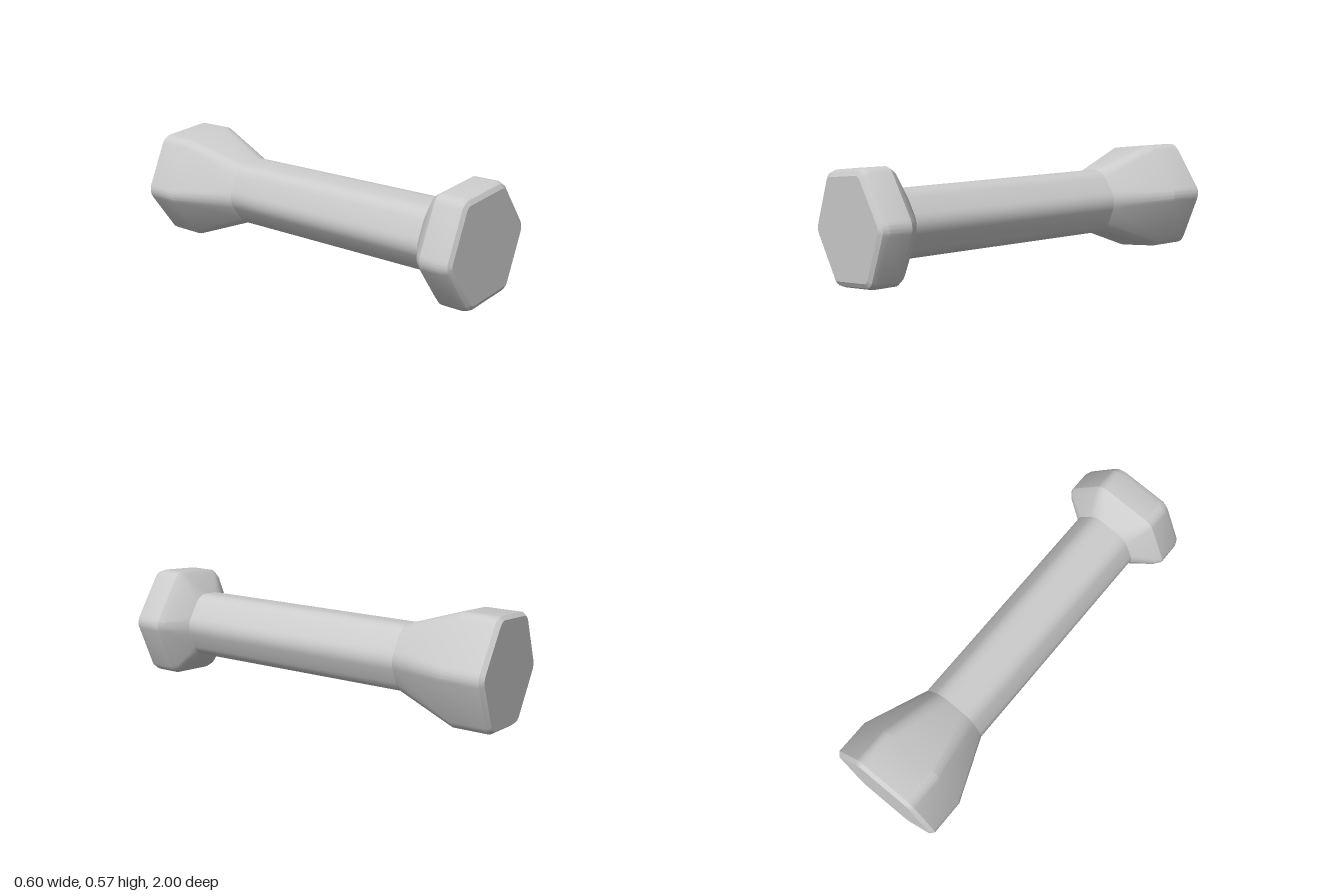
import * as THREE from 'three';
import { toCreasedNormals } from 'three/addons/utils/BufferGeometryUtils.js';

const AXIS_Y = 0.286;                          // height of the long axis
const TILT = THREE.MathUtils.degToRad(6.7);    // twist of the hexagon
const ARC = 4;                                 // segments per rounded corner
const COUNT = 6 * (ARC + 1);

// Rounded hexagon: corner centres at distance c, corner radius r
function hexSection([z, c, r]) {
  const points = [];
  for (let k = 0; k < 6; k++) {
    const corner = TILT + k * Math.PI / 3;
    for (let i = 0; i <= ARC; i++) {
      const a = corner + (i / ARC - 0.5) * Math.PI / 3;
      points.push(
        c * Math.cos(corner) + r * Math.cos(a),
        c * Math.sin(corner) + r * Math.sin(a),
        z
      );
    }
  }
  return points;
}

// Skin through sections given from back to front, with optional flat ends
function loft(name, sections, capBack, capFront, material) {
  const positions = sections.flatMap(hexSection);
  const index = [];
  const last = sections.length - 1;
  for (let s = 0; s < last; s++) {
    for (let j = 0; j < COUNT; j++) {
      const a = s * COUNT + j;
      const b = s * COUNT + (j + 1) % COUNT;
      index.push(a, b, b + COUNT, a, b + COUNT, a + COUNT);
    }
  }
  const cap = (s, front) => {
    const centre = positions.length / 3;
    positions.push(0, 0, sections[s][0]);
    for (let j = 0; j < COUNT; j++) {
      const a = s * COUNT + j;
      const b = s * COUNT + (j + 1) % COUNT;
      index.push(centre, front ? a : b, front ? b : a);
    }
  };
  if (capBack) cap(0, false);
  if (capFront) cap(last, true);
  const geometry = new THREE.BufferGeometry();
  geometry.setAttribute('position', new THREE.Float32BufferAttribute(positions, 3));
  geometry.setIndex(index);
  const mesh = new THREE.Mesh(toCreasedNormals(geometry, 0.4), material);
  mesh.name = name;
  mesh.position.y = AXIS_Y;
  return mesh;
}

export function createModel() {
  const group = new THREE.Group();
  group.name = 'dumbbell';
  const material = new THREE.MeshStandardMaterial({ color: 0xcccccc, side: THREE.DoubleSide });

  // Each section: [z, corner centre distance, corner radius]
  const shaftBack = [-0.48, 0.082, 0.093];
  const shaftFront = [0.74, 0.082, 0.093];

  // Long flared head at the back
  group.add(loft('backHead', [
    [-1, 0.232, 0.054],
    [-0.98, 0.233, 0.07],
    [-0.8, 0.233, 0.07],
    shaftBack,
  ], true, false, material));

  // Handle bar
  group.add(loft('handle', [shaftBack, shaftFront], false, false, material));

  // Short bevelled head at the front
  group.add(loft('frontHead', [
    shaftFront,
    [0.815, 0.22, 0.062],
    [0.845, 0.233, 0.07],
    [0.96, 0.233, 0.07],
    [0.988, 0.234, 0.058],
    [1, 0.235, 0.036],
  ], false, true, material));

  return group;
}
